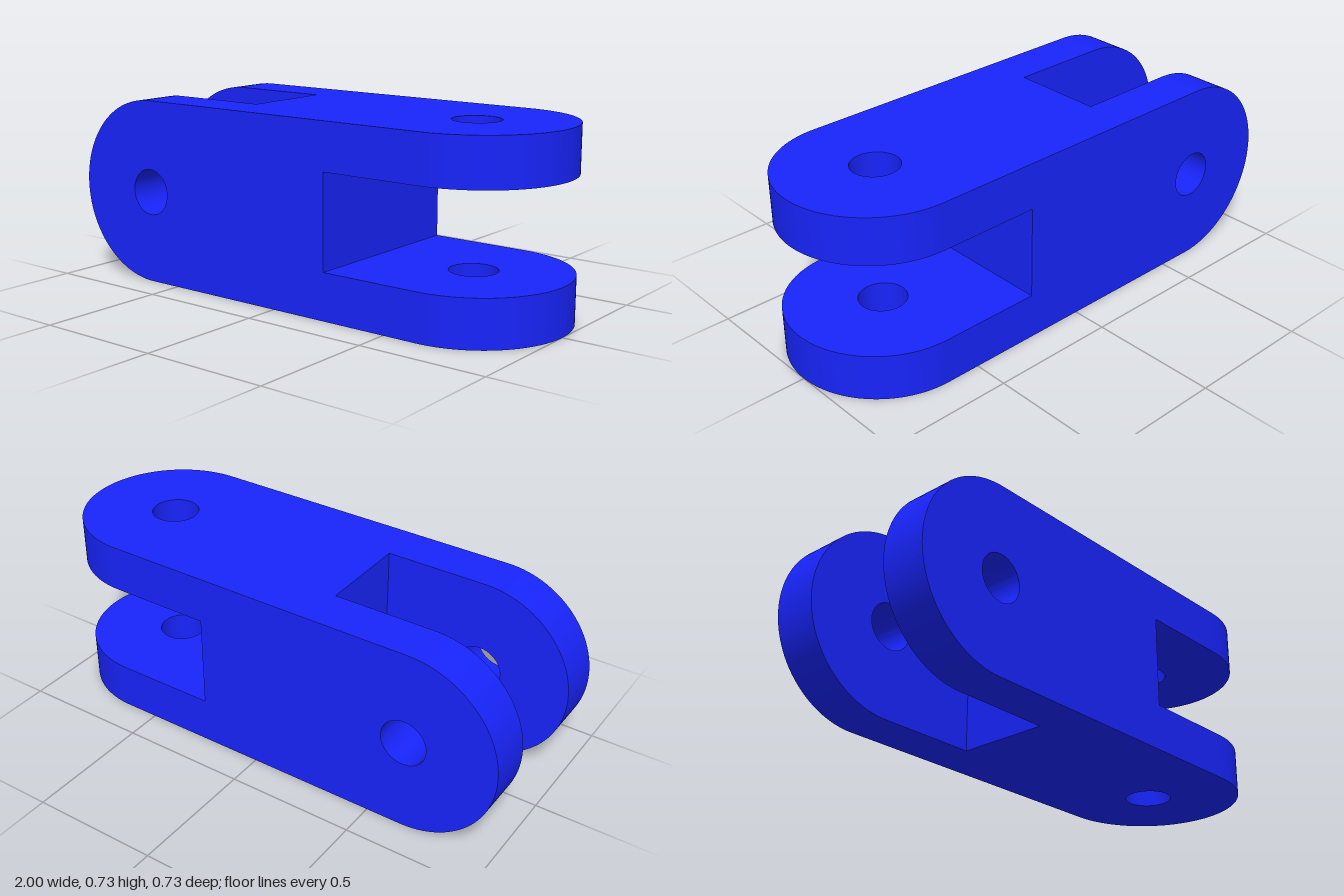
import * as THREE from 'three';
import { toCreasedNormals } from 'three/addons/utils/BufferGeometryUtils.js';

const R = 0.3636;       // half width of the link and radius of its rounded ends
const GAP = R / 2;      // half width of each fork slot
const PIN = 1 - R;      // distance of the pin holes from the middle
const ROOT = 0.236;     // where the slots end
const HOLE = 0.091;

const material = new THREE.MeshStandardMaterial({ color: 0x1824fa });

// Drops the triangles lying wholly in the plane x = ROOT or x = -ROOT, where parts join
function openJoints(geometry) {
  const g = geometry.index ? geometry.toNonIndexed() : geometry;
  const p = g.attributes.position;
  const kept = [];
  for (let i = 0; i < p.count; i += 3) {
    const atJoint = [ROOT, -ROOT].some((x) =>
      [0, 1, 2].every((k) => Math.abs(p.getX(i + k) - x) < 1e-4));
    if (!atJoint) for (let k = 0; k < 3; k++) kept.push(p.getX(i + k), p.getY(i + k), p.getZ(i + k));
  }
  const out = new THREE.BufferGeometry();
  out.setAttribute('position', new THREE.Float32BufferAttribute(kept, 3));
  return toCreasedNormals(out, 0.5);
}

function addMesh(parent, name, geometry) {
  const mesh = new THREE.Mesh(geometry, material);
  mesh.name = name;
  parent.add(mesh);
  return mesh;
}

// Fork pointing along +x: two round-ended prongs at +-z and the wall between them
function makeFork(name) {
  const fork = new THREE.Group();
  fork.name = name;

  const outline = new THREE.Shape();
  outline.moveTo(ROOT, -R);
  outline.lineTo(PIN, -R);
  outline.absarc(PIN, 0, R, -Math.PI / 2, Math.PI / 2, false);
  outline.lineTo(ROOT, R);
  outline.closePath();
  const hole = new THREE.Path();
  hole.absarc(PIN, 0, HOLE, 0, Math.PI * 2, true);
  outline.holes.push(hole);

  const prong = openJoints(new THREE.ExtrudeGeometry(outline, {
    depth: R - GAP, bevelEnabled: false, curveSegments: 28,
  }));
  addMesh(fork, 'prong', prong).position.z = GAP;
  addMesh(fork, 'prong', prong).position.z = -R;

  const wall = new THREE.PlaneGeometry(GAP * 2, R * 2).rotateY(Math.PI / 2);
  addMesh(fork, 'slotWall', wall).position.x = ROOT;
  return fork;
}

export function createModel() {
  const link = new THREE.Group();
  link.name = 'forkLink';

  const body = new THREE.Group();
  body.name = 'body';
  body.position.y = R;
  link.add(body);

  // Square middle block
  addMesh(body, 'block', openJoints(new THREE.BoxGeometry(ROOT * 2, R * 2, R * 2)));

  // One fork with front and back prongs, one turned a quarter with upper and lower prongs
  const uprightFork = makeFork('uprightFork');
  uprightFork.rotation.y = Math.PI;
  const flatFork = makeFork('flatFork');
  flatFork.rotation.x = Math.PI / 2;
  body.add(uprightFork, flatFork);

  return link;
}
